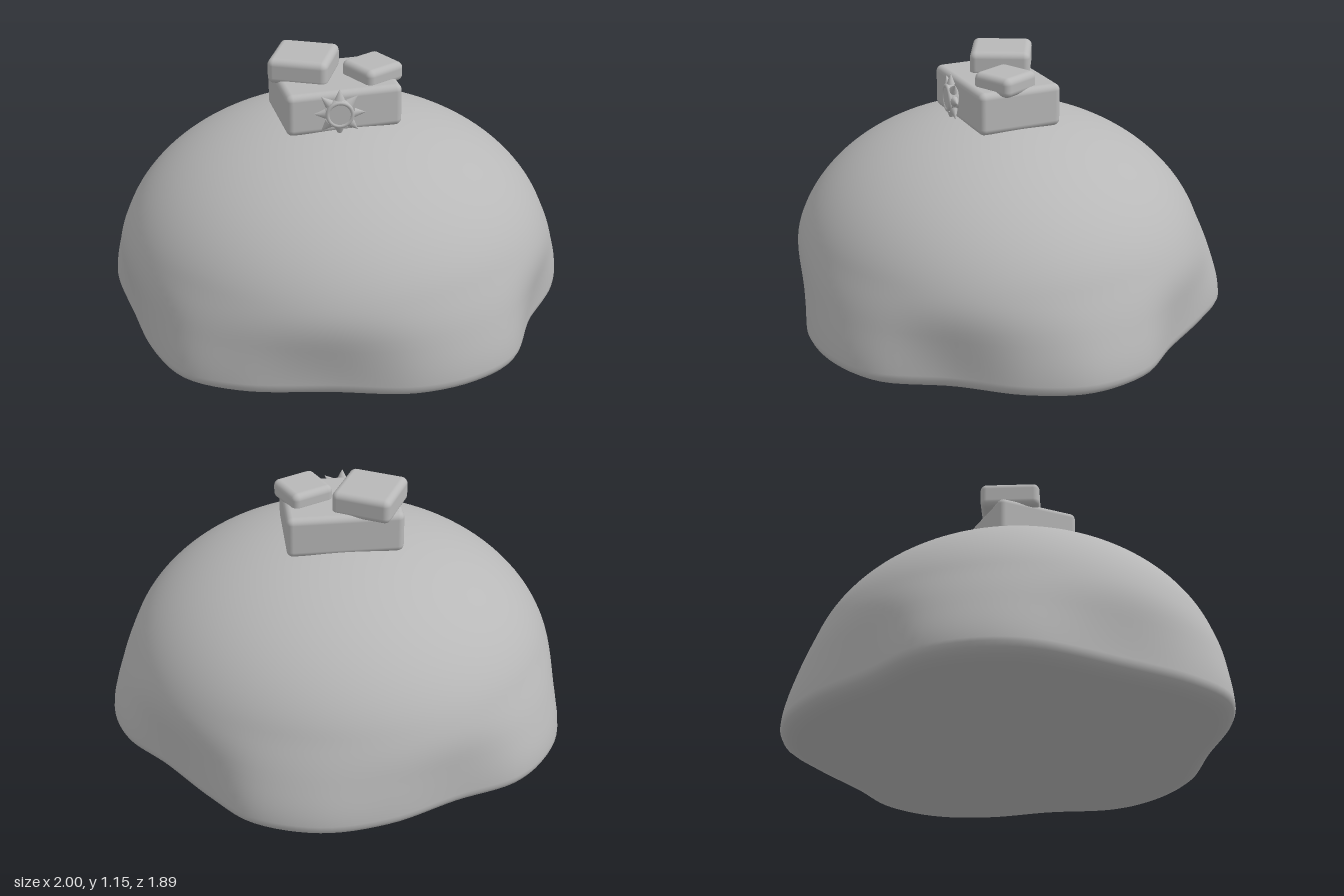
import * as THREE from 'three';
import { RoundedBoxGeometry } from 'three/addons/geometries/RoundedBoxGeometry.js';

const stone = new THREE.MeshStandardMaterial({ color: 0xb8b8b8 });
stone.name = 'grey stone';

// Five-lobed outline of the foot of the mound, as x, z pairs
const OUTLINE = [
  [0.03, -0.95], [0.32, -0.89], [0.5, -0.74], [0.72, -0.51], [0.92, -0.32], [1, -0.07],
  [0.94, 0.19], [0.78, 0.46], [0.65, 0.75], [0.47, 0.88], [0.22, 0.94], [-0.13, 0.89],
  [-0.5, 0.84], [-0.72, 0.73], [-0.84, 0.53], [-0.92, 0.23], [-1, -0.19], [-0.94, -0.41],
  [-0.8, -0.59], [-0.54, -0.72], [-0.26, -0.88],
];

// Mound: an ellipsoid dome that melts into the lobed foot, closed by a flat base
function moundGeometry() {
  const around = 128, rings = 40;
  const cx = -0.02, cz = 0.035, rx = 0.945, rz = 0.9, midY = 0.25, topY = 0.91;
  const curve = new THREE.CatmullRomCurve3(OUTLINE.map(([x, z]) => new THREE.Vector3(x, 0, z)), true);
  const foot = curve.getSpacedPoints(around).slice(0, around);
  const levels = [[0, 0.7], [0, 0.9], [0, 0.93], [0.012, 0.965], [0.03, 0.99]];
  for (let i = 0; i < 12; i++) levels.push([0.05 + (0.2 * i) / 12, 1]);
  for (let i = 0; i < rings; i++) levels.push([midY + (topY - midY) * Math.sin((i / rings) * Math.PI / 2), 1]);

  const pos = [], index = [];
  for (const [y, inset] of levels) {
    const h = Math.max(0, (y - midY) / (topY - midY));
    const k = Math.sqrt(1 - h * h);
    const s = 1 - THREE.MathUtils.smoothstep(y, 0.04, 0.43);
    for (const p of foot) {
      const a = Math.atan2(p.z - cz, p.x - cx);
      const c = Math.cos(a), d = Math.sin(a);
      const r = k / Math.hypot(c / rx, d / rz);
      const x = THREE.MathUtils.lerp(cx + c * r, p.x, s);
      const z = THREE.MathUtils.lerp(cz + d * r, p.z, s);
      pos.push(x * inset, y, z * inset);
    }
  }
  const rows = levels.length;
  for (let j = 0; j < rows - 1; j++) {
    for (let i = 0; i < around; i++) {
      const n = (i + 1) % around;
      const a = j * around + i, b = j * around + n;
      index.push(a, a + around, b, b, a + around, b + around);
    }
  }
  // Centre points of the base and the crown
  const bottom = rows * around, top = bottom + 1, last = (rows - 1) * around;
  pos.push(0, 0, 0, cx, topY, cz);
  for (let i = 0; i < around; i++) {
    const n = (i + 1) % around;
    index.push(bottom, i, n, top, last + n, last + i);
  }
  const g = new THREE.BufferGeometry();
  g.setAttribute('position', new THREE.Float32BufferAttribute(pos, 3));
  g.setIndex(index);
  g.computeVertexNormals();
  return g;
}

function add(parent, name, geometry) {
  const mesh = new THREE.Mesh(geometry, stone);
  mesh.name = name;
  parent.add(mesh);
  return mesh;
}

// Rounded block standing between two heights and turned about y
function block(parent, name, w, d, y0, y1, x, z, degrees) {
  const mesh = add(parent, name, new RoundedBoxGeometry(w, y1 - y0, d, 4, 0.028));
  mesh.position.set(x, (y0 + y1) / 2, z);
  mesh.rotation.y = THREE.MathUtils.degToRad(degrees);
}

// Sun emblem: a rimmed disc with eight pointed rays
function sun() {
  const group = new THREE.Group();
  group.name = 'sunEmblem';
  const disc = add(group, 'sunDisc', new THREE.CylinderGeometry(0.055, 0.055, 0.044, 32));
  disc.rotation.x = Math.PI / 2;
  const rim = add(group, 'sunRim', new THREE.TorusGeometry(0.052, 0.009, 10, 32));
  rim.position.z = 0.017;
  for (let i = 0; i < 8; i++) {
    const arm = new THREE.Group();
    arm.name = 'sunRayArm';
    arm.rotation.z = (i * Math.PI) / 4;
    const ray = add(arm, 'sunRay', new THREE.ConeGeometry(0.022, 0.048, 12));
    ray.position.y = 0.085;
    ray.scale.z = 0.8;
    group.add(arm);
  }
  group.position.set(-0.025, 0.978, 0.245);
  return group;
}

export function createModel() {
  const model = new THREE.Group();
  model.name = 'moundWithStones';
  add(model, 'mound', moundGeometry());
  block(model, 'baseStone', 0.5, 0.375, 0.88, 1.065, -0.025, 0.04, 8.5);
  block(model, 'largeTopStone', 0.26, 0.26, 1.045, 1.155, -0.15, -0.015, -19);
  block(model, 'smallTopStone', 0.195, 0.195, 1.04, 1.125, 0.137, 0.05, 33);
  model.add(sun());
  return model;
}
